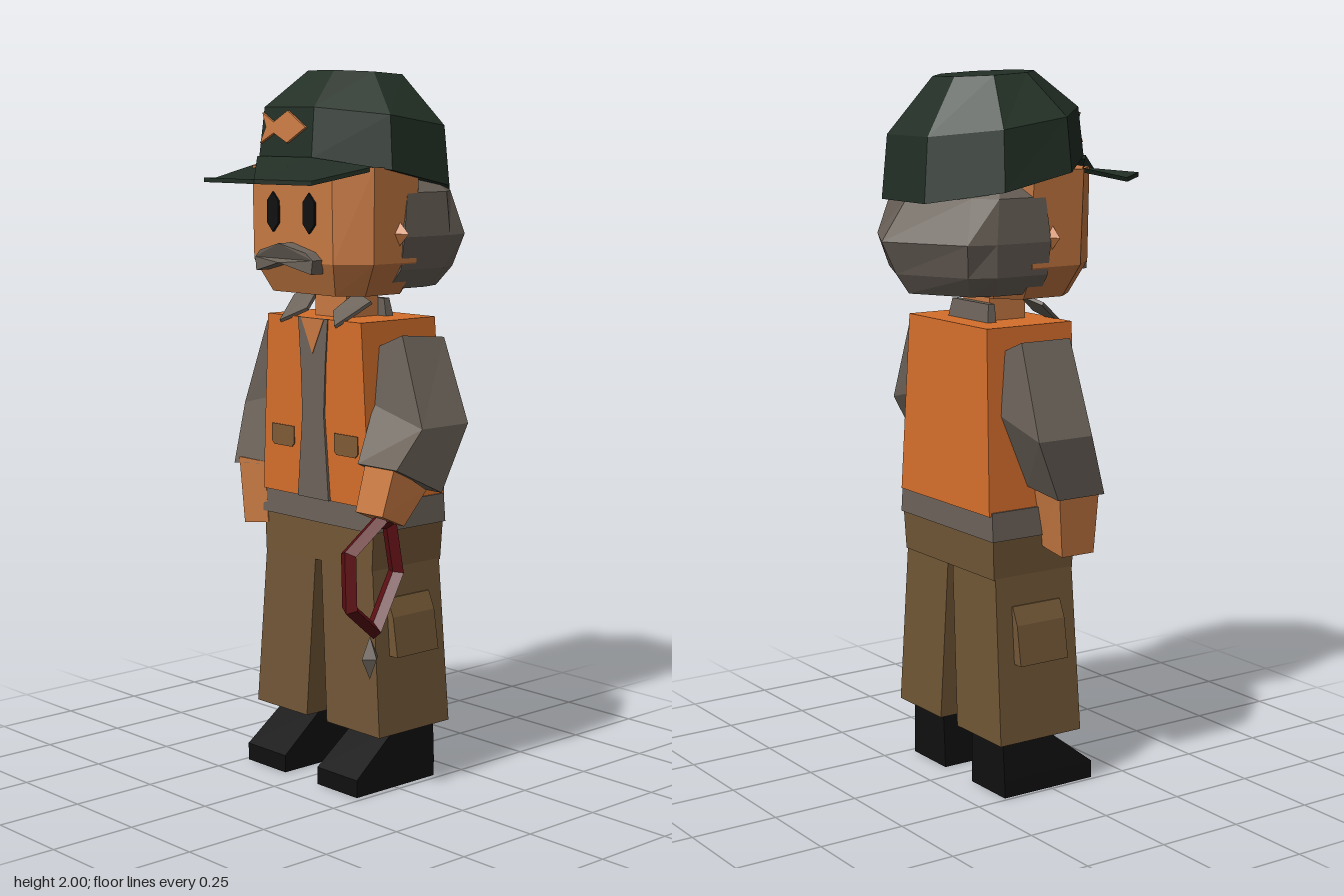
import * as THREE from 'three';

const mat = (name, color) => {
  const m = new THREE.MeshStandardMaterial({ color });
  m.name = name;
  return m;
};

// Joins rings of points from bottom to top; each ring runs counterclockwise seen from above.
function loft(rings, capped = true) {
  const pos = [];
  const tri = (a, b, c) => pos.push(...a, ...b, ...c);
  for (let r = 0; r + 1 < rings.length; r++) {
    const lo = rings[r], hi = rings[r + 1];
    lo.forEach((a, i) => {
      const j = (i + 1) % lo.length;
      tri(a, lo[j], hi[j]);
      tri(a, hi[j], hi[i]);
    });
  }
  if (capped) {
    const lo = rings[0], hi = rings[rings.length - 1];
    for (let i = 1; i + 1 < lo.length; i++) {
      tri(lo[0], lo[i + 1], lo[i]);
      tri(hi[0], hi[i], hi[i + 1]);
    }
  }
  const g = new THREE.BufferGeometry();
  g.setAttribute('position', new THREE.Float32BufferAttribute(pos, 3));
  g.computeVertexNormals();
  return g;
}

// Four-cornered ring; the height may differ at back and front, and along x.
function rect(x0, x1, zb, zf, yb, yf = yb, slope = 0) {
  const d = slope * (x1 - x0) / 2;
  return [[x1, yf + d, zf], [x1, yb + d, zb], [x0, yb - d, zb], [x0, yf - d, zf]];
}

// Eight-cornered ring with cut corners.
function octo(hx, zb, zf, flatX, cut, y) {
  return [[hx, y, zf - cut], [hx, y, zb + cut], [flatX, y, zb], [-flatX, y, zb],
    [-hx, y, zb + cut], [-hx, y, zf - cut], [-flatX, y, zf], [flatX, y, zf]];
}

// Thin plate cut from an outline in the xy plane.
function plate(points, depth = 0.008) {
  const s = new THREE.Shape(points.map(([x, y]) => new THREE.Vector2(x, y)));
  return new THREE.ExtrudeGeometry(s, { depth, bevelEnabled: false });
}

export function createModel() {
  const skin = mat('skin', 0xc87a43), green = mat('cap green', 0x222f25);
  const grey = mat('grey cloth and hair', 0x6c635a), orange = mat('vest orange', 0xd66f2c);
  const khaki = mat('trouser brown', 0x725736), black = mat('black', 0x101010);
  const tan = mat('pocket brown', 0x805a34), red = mat('dark red', 0x5c0f13);

  const model = new THREE.Group();
  model.name = 'fisherman';
  const body = new THREE.Group();
  body.name = 'body';
  body.position.x = -0.004;
  model.add(body);
  const add = (name, geo, material, parent = body) => {
    const m = new THREE.Mesh(geo, material);
    m.name = name;
    parent.add(m);
    return m;
  };

  // Head and neck
  add('head', loft([
    octo(0.185, -0.12, 0.13, 0.13, 0.06, 1.39),
    octo(0.24, -0.15, 0.17, 0.165, 0.08, 1.48),
    octo(0.247, -0.15, 0.175, 0.165, 0.08, 1.74),
  ]), skin);
  add('neck', loft([rect(-0.065, 0.065, -0.09, 0.03, 1.3), rect(-0.065, 0.065, -0.09, 0.03, 1.42)]), skin);

  for (const s of [-1, 1]) {
    const ear = add('ear', new THREE.ConeGeometry(0.055, 0.06, 4).toNonIndexed(), skin);
    ear.geometry.computeVertexNormals();
    ear.rotation.z = -s * Math.PI / 2;
    ear.scale.z = 0.6;
    ear.position.set(s * 0.247, 1.56, -0.005);

    const eye = add('eye', plate([[0, 0.055], [-0.024, 0.03], [-0.024, -0.03], [0, -0.055], [0.024, -0.03], [0.024, 0.03]]), black);
    eye.position.set(s * 0.075, 1.615, 0.171);
  }

  // Moustache, drooping at both ends
  const moustache = [[0, 1.48], [0.115, 1.452], [0.12, 1.49], [0.095, 1.51], [0, 1.533],
    [-0.095, 1.51], [-0.12, 1.49], [-0.115, 1.452]];
  const mo = add('moustache', plate(moustache, 0.06), grey);
  const mp = mo.geometry.attributes.position;
  for (let i = 0; i < mp.count; i++) {
    if (mp.getZ(i) > 0.03) mp.setZ(i, 0.06 - Math.abs(mp.getX(i)) * 0.15);
  }
  mo.geometry.computeVertexNormals();
  mo.position.z = 0.162;

  // Hair wrapping the back of the head
  const hairRing = (y, hx, zf, zs, bx, zb, za) => [[hx, y, zf], [hx, y, zs], [bx, y, zb], [0, y, za],
    [-bx, y, zb], [-hx, y, zs], [-hx, y, zf]];
  add('hair', loft([
    hairRing(1.405, 0.19, -0.01, -0.15, 0.165, -0.22, -0.31),
    hairRing(1.46, 0.235, -0.015, -0.18, 0.2, -0.25, -0.35),
    hairRing(1.55, 0.25, -0.015, -0.19, 0.228, -0.27, -0.395),
    hairRing(1.67, 0.245, -0.03, -0.18, 0.2, -0.24, -0.31),
    hairRing(1.72, 0.2, -0.04, -0.15, 0.17, -0.2, -0.25),
  ]), grey);

  // Cap crown, tilted back
  const crownRing = (half, yFront, yBack) => Array.from({ length: 8 }, (_, i) => {
    const a = (i - 0.5) * Math.PI / 4, r = half / Math.cos(Math.PI / 8);
    const dz = -r * Math.sin(a);
    return [r * Math.cos(a), (yFront + yBack) / 2 + (yFront - yBack) * dz / (2 * half), dz - 0.065];
  });
  add('capCrown', loft([crownRing(0.262, 1.765, 1.655), crownRing(0.247, 1.9, 1.83), crownRing(0.13, 2, 1.985)]), green);

  // Cap peak
  const rim = [[0.105, 1.7, 0.395], [0.2, 1.695, 0.28], [0.24, 1.73, 0.095], [0.11, 1.755, 0.203]];
  const peak = [...rim, ...rim.slice().reverse().map(([x, y, z]) => [-x, y, z])];
  add('capPeak', loft([peak, peak.map(([x, y, z]) => [x, y + 0.012, z])]), green);

  // Fish patch on the cap
  const fish = add('fishPatch', plate([[-0.1, 0.04], [-0.05, 0.014], [0.005, 0.045], [0.083, 0],
    [0.012, -0.042], [-0.046, -0.016], [-0.1, -0.044], [-0.08, 0]]), skin);
  fish.position.set(0, 1.845, 0.189);
  fish.rotation.x = -0.11;

  // Vest, shirt and collar
  add('shirtHem', loft([rect(-0.235, 0.235, -0.195, 0.083, 0.74), rect(-0.23, 0.23, -0.193, 0.083, 0.82)]), grey);
  add('vest', loft([rect(-0.225, 0.225, -0.2, 0.09, 0.81), rect(-0.195, 0.195, -0.187, 0.095, 1.32)]), orange);
  add('shirtFront', plate([[-0.065, 0.81], [0.065, 0.81], [0.045, 1.05], [0.052, 1.2], [0.062, 1.32],
    [-0.062, 1.32], [-0.052, 1.2], [-0.045, 1.05]]), grey).position.z = 0.09;
  add('openNeck', plate([[0, 1.22], [0.048, 1.32], [-0.048, 1.32]]), skin).position.z = 0.092;
  add('collarBack', loft([rect(-0.1, 0.1, -0.12, -0.09, 1.31), rect(-0.09, 0.09, -0.11, -0.09, 1.37)]), grey);
  for (const s of [-1, 1]) {
    const flap = [[0.16, 1.365, 0.02], [0.08, 1.385, 0], [0.055, 1.335, 0.065], [0.115, 1.3, 0.115]]
      .map(([x, y, z]) => [s * x, y, z]);
    if (s < 0) flap.reverse();
    add('collarFlap', loft([flap, flap.map(([x, y, z]) => [x, y + 0.008, z + 0.006])]), grey);
    const p = add('vestPocket', plate([[-0.048, -0.02], [-0.038, -0.03], [0.038, -0.03], [0.048, -0.02],
      [0.048, 0.03], [-0.048, 0.03]]), tan);
    p.position.set(s * 0.133, 0.975, 0.087);
  }

  // Trousers, cargo pockets and boots
  add('trouserWaist', loft([rect(-0.225, 0.225, -0.185, 0.08, 0.63), rect(-0.23, 0.23, -0.19, 0.08, 0.745)]), khaki);
  for (const s of [-1, 1]) {
    const span = (a, b) => (s > 0 ? [a, b] : [-b, -a]);
    add('trouserLeg', loft([rect(...span(0.043, 0.262), -0.187, 0.085, 0.165),
      rect(...span(0.012, 0.225), -0.18, 0.078, 0.635)]), khaki);
    add('cargoPocket', loft([rect(...span(0.2, 0.276), -0.13, 0.03, 0.388),
      rect(...span(0.2, 0.258), -0.13, 0.03, 0.5), rect(...span(0.2, 0.236), -0.13, 0.03, 0.55)]), khaki);
    add('boot', loft([rect(...span(0.07, 0.235), -0.155, 0.145, 0), rect(...span(0.07, 0.235), -0.156, 0.145, 0.05),
      rect(...span(0.075, 0.228), -0.158, -0.01, 0.17)]), black);
  }

  // Left arm, bent forward
  add('leftSleeve', loft([
    rect(0.238, 0.39, -0.02, 0.15, 0.865, 0.945),
    rect(0.2, 0.39, -0.12, 0.055, 1.07, 1.07, -0.25),
    rect(0.19, 0.285, -0.13, 0.03, 1.255, 1.27, 0.4),
  ]), grey, model);
  add('leftHand', loft([rect(0.262, 0.368, 0.1, 0.18, 0.785, 0.82), rect(0.258, 0.372, 0.02, 0.14, 0.875, 0.95)]), skin, model);

  // Right arm, hanging down
  add('rightSleeve', loft([
    rect(-0.368, -0.222, -0.07, 0.085, 0.872, 0.872, 0.1),
    rect(-0.39, -0.2, -0.15, 0.025, 1.06, 1.06, 0.25),
    rect(-0.28, -0.19, -0.13, 0.03, 1.27, 1.27, -0.4),
  ]), grey, model);
  add('rightHand', loft([rect(-0.325, -0.218, -0.025, 0.082, 0.7, 0.7, 0.15),
    rect(-0.345, -0.228, -0.05, 0.085, 0.885)]), skin, model);

  // Cord loop held in the left hand, with a weight below it
  const loop = [[0.14, 0.82], [0.27, 0.73], [0.265, 0.56], [0.165, 0.475], [0.068, 0.65], [0.1, 0.815]];
  const cord = loop.map(([z, y]) => {
    const at = (k, x) => [0.318 + x, 0.655 + (y - 0.655) * k, 0.165 + (z - 0.165) * k];
    return [at(0.87, 0.03), at(1, 0), at(0.87, -0.03), at(0.74, 0)];
  });
  add('cordLoop', loft([...cord, cord[0]], false), red, model);
  const weight = add('weight', new THREE.OctahedronGeometry(0.06), grey, model);
  weight.scale.set(0.45, 1, 0.5);
  weight.position.set(0.318, 0.425, 0.178);

  return model;
}
